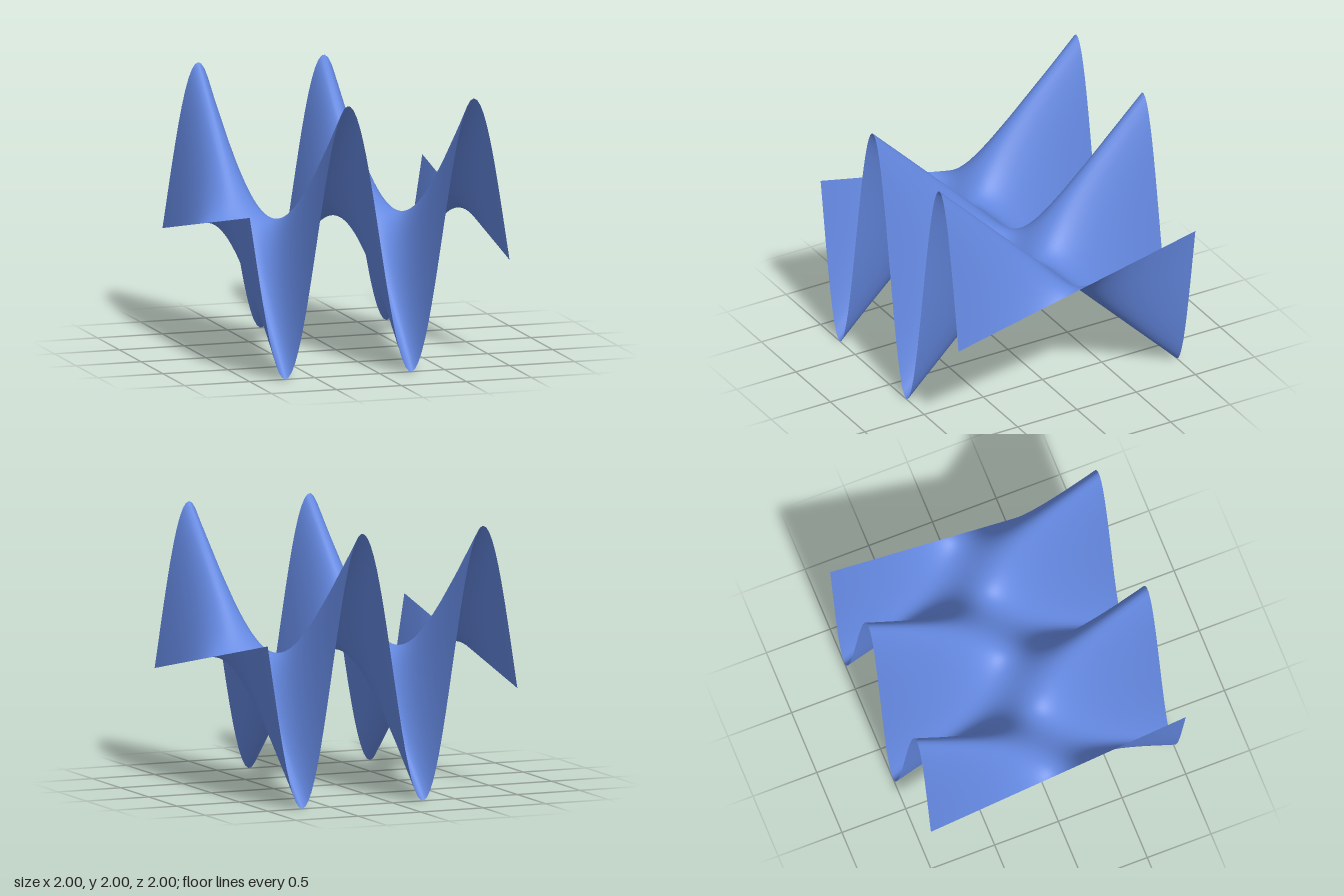
import * as THREE from 'three';

// Height of the rippled sheet: a sine wave across x whose amplitude grows with z
const FREQUENCY = 6.5;
const height = (x, z) => 1 - z * Math.sin(FREQUENCY * x);

export function createModel() {
  const group = new THREE.Group();
  group.name = 'waveSurface';

  // Flat square grid, lying face up, lifted by the height rule
  const geometry = new THREE.PlaneGeometry(2, 2, 80, 80);
  geometry.rotateX(-Math.PI / 2);
  const pos = geometry.attributes.position;
  for (let i = 0; i < pos.count; i++) {
    pos.setY(i, height(pos.getX(i), pos.getZ(i)));
  }

  // Exact smooth normals from the slopes of the height rule
  const normal = geometry.attributes.normal;
  const n = new THREE.Vector3();
  for (let i = 0; i < pos.count; i++) {
    const x = pos.getX(i), z = pos.getZ(i);
    n.set(z * FREQUENCY * Math.cos(FREQUENCY * x), 1, Math.sin(FREQUENCY * x)).normalize();
    normal.setXYZ(i, n.x, n.y, n.z);
  }

  const sheet = new THREE.Mesh(
    geometry,
    new THREE.MeshStandardMaterial({ color: 0x6488e0, side: THREE.DoubleSide })
  );
  sheet.name = 'rippledSheet';
  group.add(sheet);
  return group;
}
